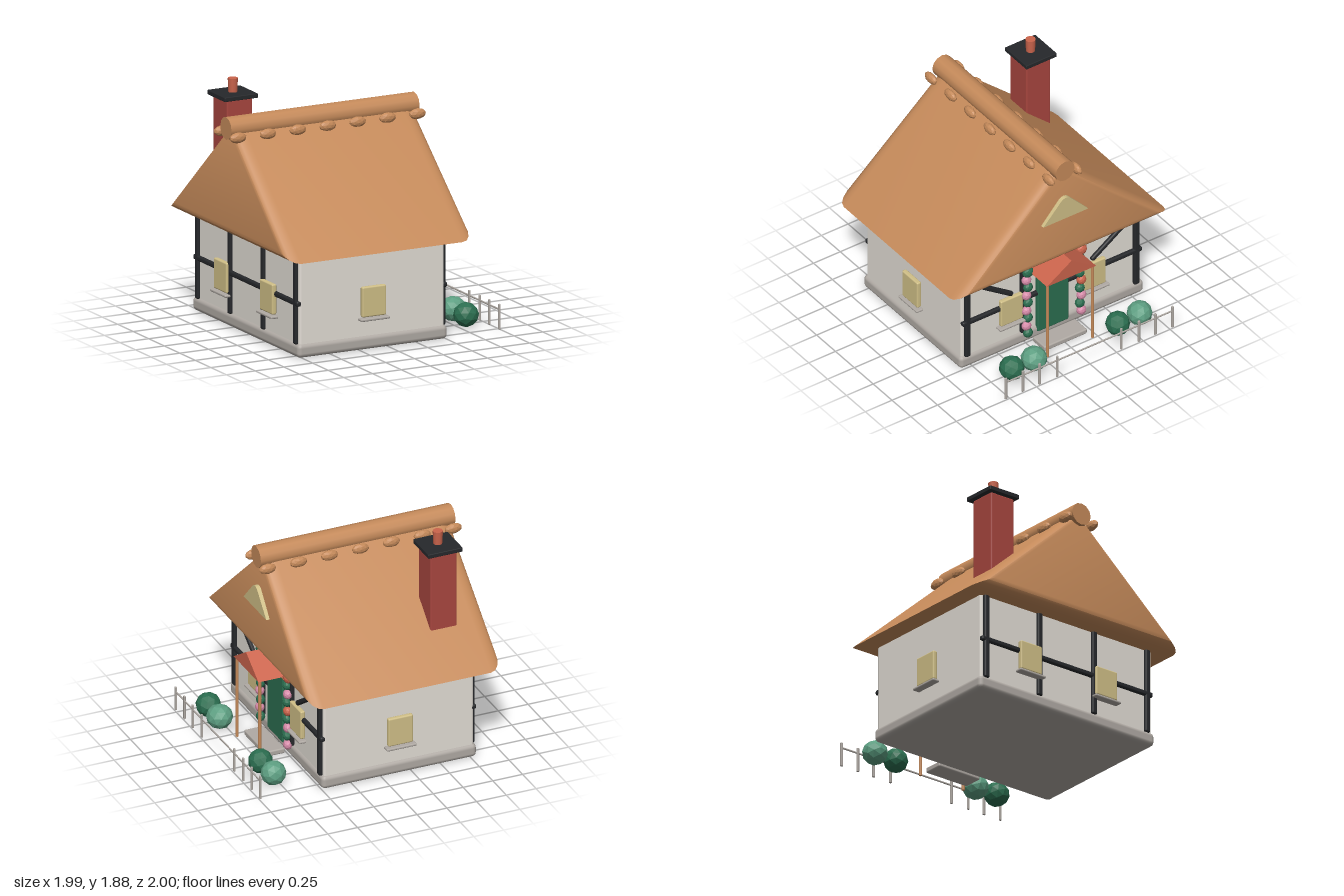
import * as THREE from 'three';
import { toCreasedNormals } from 'three/addons/utils/BufferGeometryUtils.js';
import { RoundedBoxGeometry } from 'three/addons/geometries/RoundedBoxGeometry.js';

const mat = (name, color, opts = {}) => new THREE.MeshStandardMaterial({ name, color, ...opts });

export function createModel() {
  const M = {
    thatch: mat('thatch and wood', 0xc58a5a),
    plaster: mat('plaster', 0xe2ddd5),
    stone: mat('stone grey', 0xb0aaa4),
    black: mat('black timber', 0x26282b),
    green: mat('dark green', 0x2b6e50, { flatShading: false }),
    mint: mat('light green', 0x5d9f82),
    cream: mat('cream', 0xd0bf87),
    brick: mat('brick red', 0xa8463f),
    terracotta: mat('terracotta', 0xcb644c),
    pink: mat('pink', 0xd58aa8),
  };
  const root = new THREE.Group();
  root.name = 'cottage';

  const add = (name, geo, material, x = 0, y = 0, z = 0, parent = root) => {
    const m = new THREE.Mesh(geo, material);
    m.name = name;
    m.position.set(x, y, z);
    parent.add(m);
    return m;
  };
  const box = (name, material, w, h, d, x, y, z, r = 0.01, parent = root) =>
    add(name, new RoundedBoxGeometry(w, h, d, 2, r), material, x, y, z, parent);
  const group = (name) => {
    const g = new THREE.Group();
    g.name = name;
    root.add(g);
    return g;
  };
  // Faceted lump used for leaves, flowers and thatch knots
  const blob = (name, material, x, y, z, sx, sy, sz, turn, parent) => {
    const m = add(name, new THREE.IcosahedronGeometry(1, 1), material, x, y, z, parent);
    m.geometry.rotateY(turn).rotateX(turn * 0.6).scale(sx, sy, sz);
    m.geometry.computeVertexNormals();
    return m;
  };

  // Walls and base
  const cx = -0.147;
  box('foundation', M.stone, 1.3, 0.11, 1.72, cx, 0.065, 0, 0.035);
  box('walls', M.plaster, 1.26, 0.74, 1.68, cx, 0.46, 0, 0.02);

  // Timber frame on both gable ends
  const timber = group('timberFrame');
  for (const x of [0.488, -0.778]) {
    for (const z of [-0.79, -0.268, 0.268, 0.79])
      box('post', M.black, 0.045, 0.72, 0.05, x, 0.47, z, 0.015, timber);
    box('crossBeam', M.black, 0.045, 0.042, 1.68, x, 0.435, 0, 0.015, timber);
  }
  for (const s of [1, -1]) {
    const b = box('brace', M.black, 0.045, 0.04, 0.38, 0.488, 0.633, s * 0.527, 0.015, timber);
    b.rotation.x = -s * Math.atan2(0.215, 0.315);
  }

  // Windows with sills
  const makeWindow = (x, z, angle) => {
    const g = group('window');
    g.position.set(x, 0, z);
    g.rotation.y = angle;
    box('shutter', M.cream, 0.208, 0.24, 0.04, 0, 0.392, 0, 0.012, g);
    box('sill', M.stone, 0.25, 0.022, 0.065, 0, 0.255, 0.008, 0.009, g);
  };
  makeWindow(cx, 0.86, 0);
  makeWindow(cx, -0.86, Math.PI);
  for (const s of [1, -1]) {
    makeWindow(0.5, s * 0.388, Math.PI / 2);
    makeWindow(-0.798, s * 0.37, -Math.PI / 2);
  }

  // Roof: triangular sections shrinking about their centre to round the gable edges
  const inY = 1.288;
  const tri = [[1, 0.8], [0, 1.7], [-1, 0.8]];
  const steps = 4;
  const rings = [];
  for (let i = 0; i <= steps; i++) {
    const a = (i / steps) * Math.PI / 2;
    rings.push({ x: 0.7 + 0.108 * Math.sin(a), s: 1 - 0.164 * (1 - Math.cos(a)) });
  }
  const sections = [...rings.map((r) => ({ x: -r.x, s: r.s })).reverse(), ...rings];
  const pos = [], idx = [];
  for (const { x, s } of sections)
    for (const [z, y] of tri) {
      const yy = inY + (y - inY) * s;
      pos.push(cx + x * (1 - 0.033 * (yy - 0.85)), yy, z * s);
    }
  for (let i = 0; i < sections.length - 1; i++)
    for (let j = 0; j < 3; j++) {
      const a = i * 3 + j, b = i * 3 + (j + 1) % 3;
      idx.push(a, a + 3, b, b, a + 3, b + 3);
    }
  const e = (sections.length - 1) * 3;
  idx.push(0, 1, 2, e, e + 2, e + 1);
  const roofGeo = new THREE.BufferGeometry();
  roofGeo.setAttribute('position', new THREE.Float32BufferAttribute(pos, 3));
  roofGeo.setIndex(idx);
  add('roof', toCreasedNormals(roofGeo, 0.9), M.thatch);

  // Ridge roll and thatch knots
  add('ridgeRoll', new THREE.CylinderGeometry(0.09, 0.09, 1.635, 12).rotateZ(Math.PI / 2),
    M.thatch, cx, 1.657, 0);
  const knots = group('thatchKnots');
  for (let i = 0; i < 7; i++)
    for (const s of [1, -1])
      blob('knot', M.thatch, -0.928 + i * 0.26, 1.607, s * 0.128, 0.072, 0.043, 0.032, i * 0.7 + s, knots);

  // Small rounded gable window
  const g = new THREE.Shape();
  g.moveTo(-0.21, 1.21);
  g.lineTo(0.21, 1.21);
  g.lineTo(0.045, 1.385);
  g.quadraticCurveTo(0, 1.425, -0.045, 1.385);
  g.closePath();
  add('gableWindow', new THREE.ExtrudeGeometry(g, { depth: 0.045, bevelEnabled: false })
    .rotateY(Math.PI / 2), M.cream, 0.635, 0, 0);

  // Chimney
  const chimney = group('chimney');
  box('stack', M.brick, 0.222, 0.76, 0.225, -0.597, 1.36, -0.568, 0.012, chimney);
  box('cap', M.black, 0.29, 0.036, 0.285, -0.597, 1.755, -0.573, 0.006, chimney);
  add('pot', new THREE.CylinderGeometry(0.04, 0.035, 0.115, 10), M.terracotta, -0.597, 1.825, -0.57, chimney);

  // Door, step and porch
  box('door', M.green, 0.04, 0.565, 0.29, 0.495, 0.352, 0, 0.012);
  box('doorstep', M.stone, 0.165, 0.045, 0.4, 0.6, 0.032, 0, 0.012);
  const porch = group('porch');
  const p = new THREE.Shape();
  p.moveTo(-0.23, 0.695);
  p.lineTo(0.23, 0.695);
  p.lineTo(0, 0.845);
  p.closePath();
  add('porchRoof', new THREE.ExtrudeGeometry(p, { depth: 0.27, bevelEnabled: false })
    .rotateY(Math.PI / 2), M.terracotta, 0.485, 0, 0, porch);
  add('lintel', new THREE.CylinderGeometry(0.024, 0.024, 0.38, 8).rotateX(Math.PI / 2),
    M.thatch, 0.51, 0.66, 0, porch);
  for (const s of [1, -1])
    add('porchPost', new THREE.CylinderGeometry(0.013, 0.013, 0.695, 8), M.thatch, 0.735, 0.352, s * 0.21, porch);

  // Climbing flowers either side of the door
  const vines = group('climbingFlowers');
  const G = M.green, P = M.pink, T = M.terracotta;
  [[0.25, [G, P, G, P, G, P, G, P, G]], [-0.25, [P, G, P, G, T, G, P, G, T]]].forEach(([z, list]) =>
    list.forEach((m, i) => {
      const r = i === 8 ? 0.048 : 0.041;
      blob('bloom', m, 0.522, 0.115 + i * 0.073, z + (i % 2 ? 0.008 : -0.006), 0.036, r, r, i * 1.3, vines);
    }));

  // Bushes
  const bushes = group('bushes');
  [[0.8, -0.605, M.mint, 0.1], [0.812, -0.392, M.green, 0.097],
    [0.802, 0.385, M.mint, 0.105], [0.802, 0.592, M.green, 0.1]].forEach(([x, z, m, r], i) =>
    blob('bush', m, x, 0.105, z, r, 0.098, r, i * 0.9 + 0.3, bushes));

  // Fence
  const fence = group('fence');
  box('rail', M.stone, 0.01, 0.014, 1.56, 0.99, 0.165, 0, 0.004, fence);
  for (const z of [0.3, 0.465, 0.62, 0.78])
    for (const s of [1, -1])
      box('picket', M.stone, 0.016, 0.2, 0.02, 0.99, 0.108, s * z, 0.005, fence);

  return root;
}
